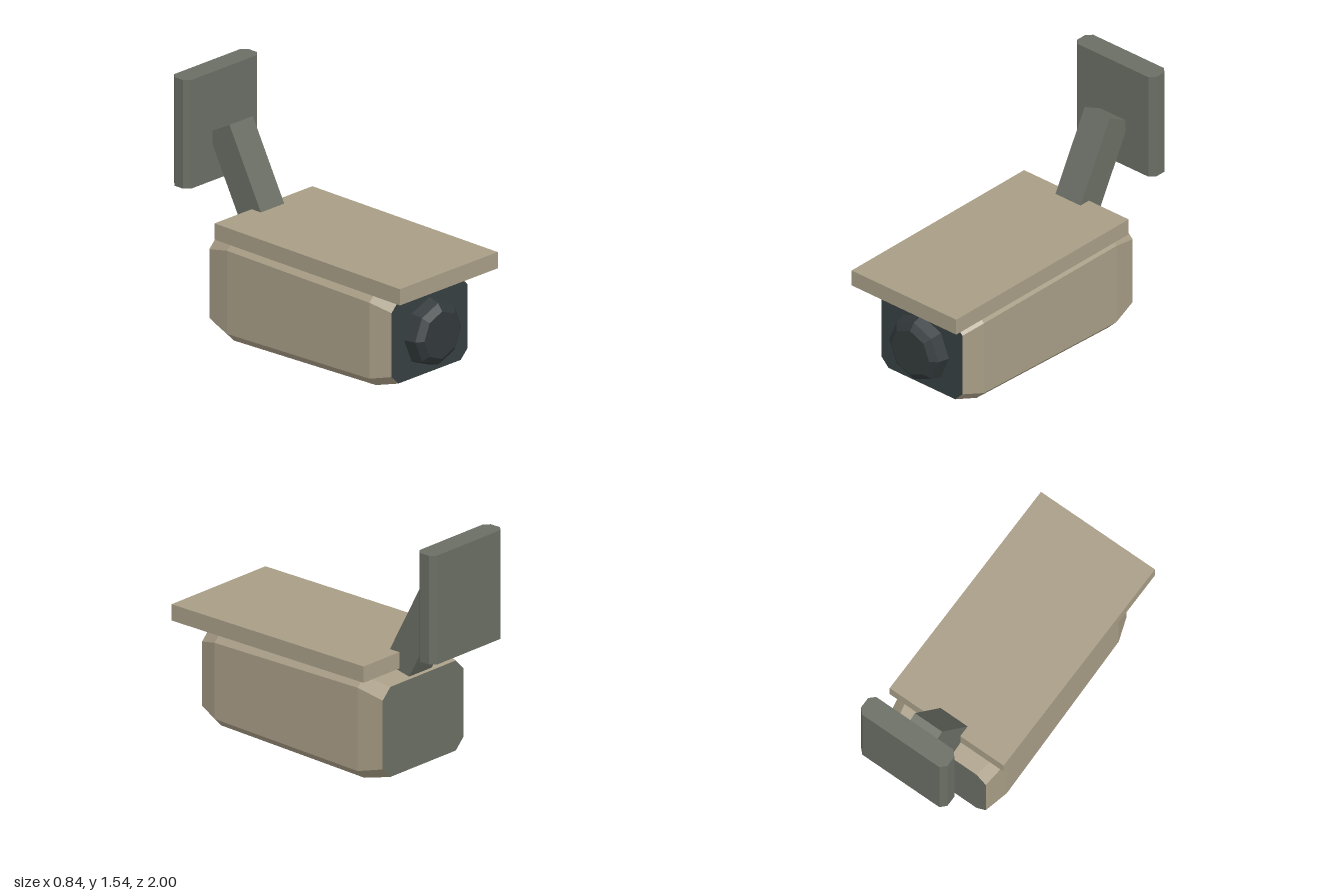
import * as THREE from 'three';

const paint = (name, color) => {
  const m = new THREE.MeshStandardMaterial({ color });
  m.name = name;
  return m;
};

// Rectangle with cut corners, counter-clockwise: half width, bottom, top, corner cut
function cutRect(w, y0, y1, c) {
  return [[w, y0 + c], [w, y1 - c], [w - c, y1], [c - w, y1],
    [-w, y1 - c], [-w, y0 + c], [c - w, y0], [w - c, y0]];
}

// Flat-faced skin through matching loops, ordered from front (+z) to back
function loft(sections) {
  const pos = [];
  for (let s = 0; s < sections.length - 1; s++) {
    const f = sections[s], b = sections[s + 1], n = f.loop.length;
    for (let i = 0; i < n; i++) {
      const j = (i + 1) % n;
      const p = [...f.loop[i], f.z], q = [...f.loop[j], f.z];
      const r = [...b.loop[j], b.z], t = [...b.loop[i], b.z];
      pos.push(...p, ...t, ...r, ...p, ...r, ...q);
    }
  }
  const g = new THREE.BufferGeometry();
  g.setAttribute('position', new THREE.Float32BufferAttribute(pos, 3));
  g.computeVertexNormals();
  return g;
}

const toShape = (loop) => new THREE.Shape(loop.map(([x, y]) => new THREE.Vector2(x, y)));

export function createModel() {
  const group = new THREE.Group();
  const tan = paint('tan casing', 0xa89d86);
  const grey = paint('grey mount', 0x6a6e64);
  const glass = paint('dark front', 0x363f41);
  const lensDark = paint('dark lens', 0x32393b);

  const add = (name, geometry, material, x = 0, y = 0, z = 0) => {
    const mesh = new THREE.Mesh(geometry, material);
    mesh.name = name;
    mesh.position.set(x, y, z);
    group.add(mesh);
    return mesh;
  };

  // Casing: tapered at both ends, with cut corners
  const sections = [
    { z: 0.84, loop: cutRect(0.325, 0.065, 0.59, 0.058) },
    { z: 0.70, loop: cutRect(0.37, 0.03, 0.63, 0.057) },
    { z: -0.46, loop: cutRect(0.388, 0, 0.652, 0.06) },
    { z: -0.635, loop: cutRect(0.36, 0.04, 0.615, 0.068) },
  ];
  add('casing', loft(sections), tan);

  // End faces close the casing
  add('frontPanel', new THREE.ShapeGeometry(toShape(sections[0].loop)), glass, 0, 0, 0.84);
  const back = add('backPanel', new THREE.ShapeGeometry(toShape(sections[3].loop)), grey, 0, 0, -0.635);
  back.rotation.y = Math.PI;

  // Eight-sided stepped lens
  const ring = (r) => Array.from({ length: 8 }, (_, i) => {
    const a = i * Math.PI / 4;
    return [r * Math.cos(a), r * Math.sin(a)];
  });
  const lensSections = [
    { z: 0.945, loop: ring(0.152) },
    { z: 0.912, loop: ring(0.197) },
    { z: 0.835, loop: ring(0.218) },
  ];
  add('lensBarrel', loft(lensSections), lensDark, 0, 0.327, 0);
  add('lensFace', new THREE.ShapeGeometry(toShape(ring(0.152))), lensDark, 0, 0.327, 0.945);

  // Sun visor
  add('visor', new THREE.BoxGeometry(0.838, 0.104, 1.535), tan, 0, 0.704, 0.2325);

  // Sloping arm from the casing to the wall
  const arm = add('arm', new THREE.BoxGeometry(0.2, 0.74, 0.2), grey, 0, 0.871, -0.634);
  arm.rotation.x = -0.489;

  // Wall plate: cut-corner outline extruded upward
  const plate = new THREE.ExtrudeGeometry(toShape(cutRect(0.317, -0.07, 0.07, 0.034)),
    { depth: 0.695, bevelEnabled: false });
  plate.rotateX(-Math.PI / 2);
  add('wallPlate', plate, grey, 0, 0.85, -0.93);

  return group;
}
